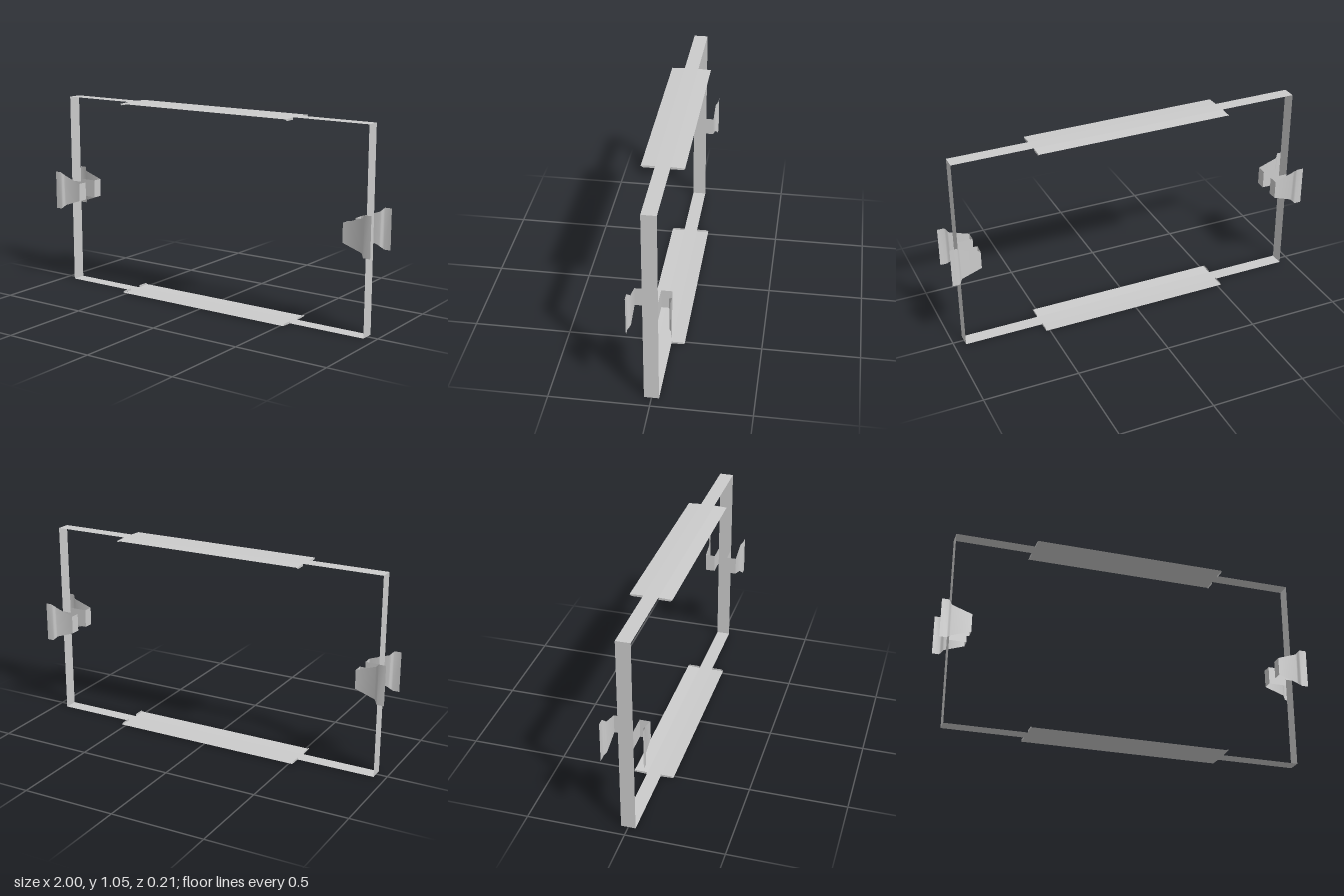
import * as THREE from 'three';
import { toCreasedNormals } from 'three/addons/utils/BufferGeometryUtils.js';

const HEIGHT = 1.055, HALF_LENGTH = 0.94, HALF_WIDTH = 0.037;
const material = new THREE.MeshStandardMaterial({ color: 0xcccccc, side: THREE.DoubleSide });

// Thin sheet through rows of two edge points each; sharp folds stay creased.
function sheet(name, rows) {
  const index = [];
  for (let i = 0; i < rows.length - 1; i++) {
    const a = 2 * i;
    index.push(a, a + 1, a + 3, a, a + 3, a + 2);
  }
  const geometry = new THREE.BufferGeometry();
  geometry.setAttribute('position', new THREE.Float32BufferAttribute(rows.flat(2), 3));
  geometry.setIndex(index);
  const mesh = new THREE.Mesh(toCreasedNormals(geometry, 0.6), material);
  mesh.name = name;
  return mesh;
}

// Horizontal band with wide, slightly bent wings and turned-in end lips.
function rail(name, y, inward) {
  const group = new THREE.Group();
  group.name = name;
  const across = (x, z, h) => [[-x, y + inward * h, z], [x, y + inward * h, z]];
  group.add(sheet('band', [across(HALF_LENGTH, HALF_WIDTH, 0), across(HALF_LENGTH, -HALF_WIDTH, 0)]));
  for (const s of [1, -1]) {
    group.add(sheet('wing', [across(0.52, s * 0.105, 0.003), across(0.52, s * HALF_WIDTH, 0)]));
    for (const e of [0.52, -0.52]) {
      const point = (z, h) => [e, y + inward * h, s * z];
      group.add(sheet('endLip', [
        [point(HALF_WIDTH, 0), point(HALF_WIDTH, 0.012)],
        [point(0.095, 0.0026), point(0.095, 0.012)],
        [point(0.105, 0.003), point(0.105, 0.005)],
      ]));
    }
  }
  return group;
}

// Folded clip: inward from the post edge, out sideways, then back along a flared tab.
function clip(sx, sz) {
  const profile = [[HALF_LENGTH, HALF_WIDTH, 0.049], [0.84, HALF_WIDTH, 0.049], [0.84, 0.09, 0.049]];
  for (let i = 0; i <= 4; i++) {
    const t = i / 4, ease = t * t * (3 - 2 * t);
    profile.push([0.944 + 0.019 * t, 0.09 + 0.015 * ease, 0.085 + 0.02 * t]);
  }
  profile.push([1, 0.105, 0.105]);
  return sheet('sideClip', profile.map(([x, z, h]) =>
    [[sx * x, 0.528 - h, sz * z], [sx * x, 0.528 + h, sz * z]]));
}

export function createModel() {
  const model = new THREE.Group();
  model.name = 'clipFrame';
  model.add(rail('topRail', HEIGHT, -1), rail('bottomRail', 0, 1));

  // Vertical posts, each with a front and a back clip
  for (const s of [1, -1]) {
    const x = s * HALF_LENGTH;
    model.add(sheet(s > 0 ? 'leftPost' : 'rightPost', [
      [[x, 0, HALF_WIDTH], [x, 0, -HALF_WIDTH]],
      [[x, HEIGHT, HALF_WIDTH], [x, HEIGHT, -HALF_WIDTH]],
    ]));
    model.add(clip(s, 1), clip(s, -1));
  }
  return model;
}
